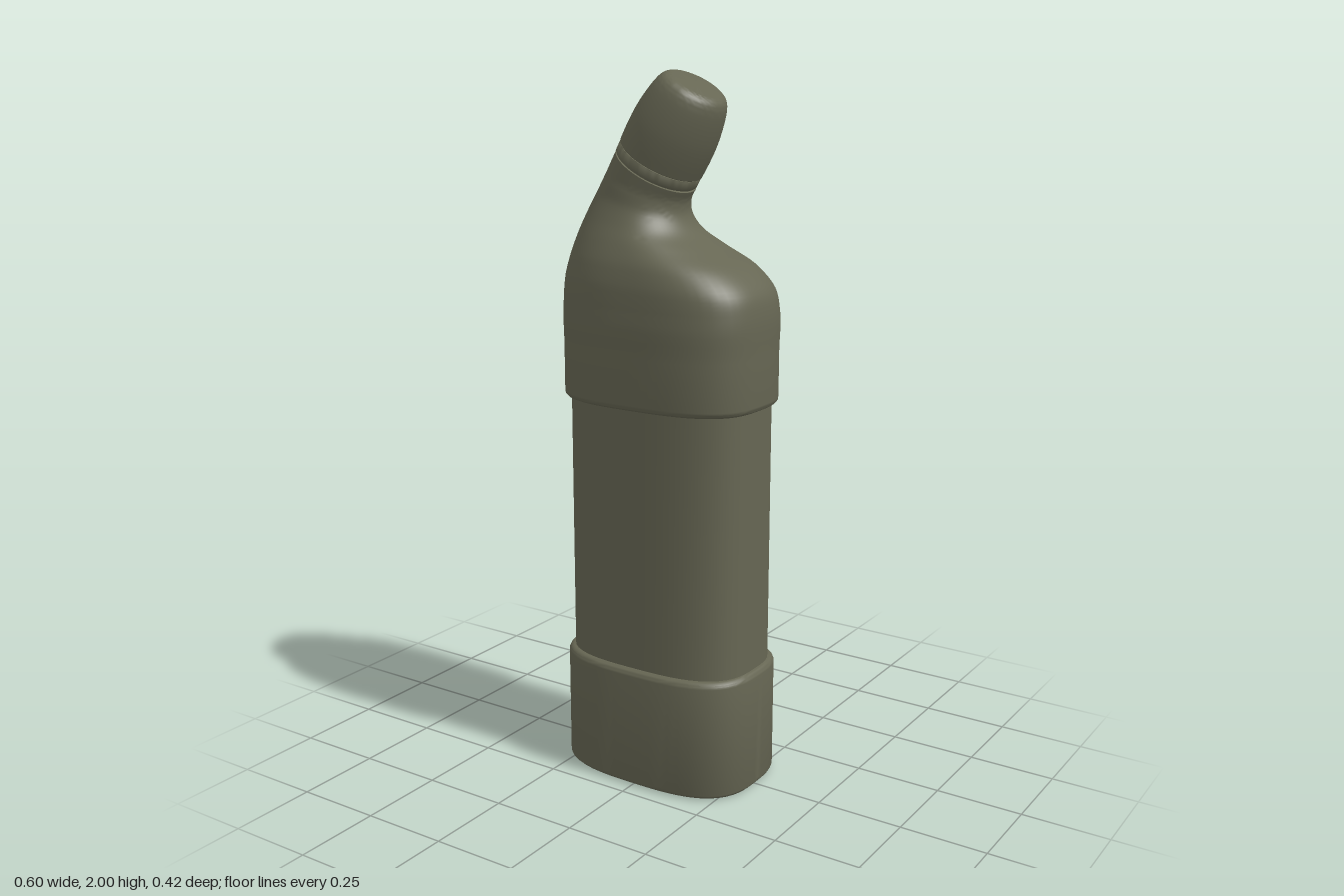
import * as THREE from 'three';
import { toCreasedNormals } from 'three/addons/utils/BufferGeometryUtils.js';

const SEGMENTS = 64;

// Skins a stack of superellipse rings: { l: [x, y], r: [x, y], d: half depth, n: squareness }
function loft(rings) {
  const pos = [], index = [];
  for (const { l, r, d, n } of rings) {
    for (let i = 0; i < SEGMENTS; i++) {
      const a = (i / SEGMENTS) * Math.PI * 2;
      const c = Math.cos(a), s = Math.sin(a);
      const k = Math.pow(Math.abs(c) ** n + Math.abs(s) ** n, -1 / n);
      pos.push(
        (l[0] + r[0]) / 2 + ((r[0] - l[0]) / 2) * c * k,
        (l[1] + r[1]) / 2 + ((r[1] - l[1]) / 2) * c * k,
        d * s * k
      );
    }
  }
  const last = (rings.length - 1) * SEGMENTS;
  for (const { l, r } of [rings[0], rings[rings.length - 1]]) {
    pos.push((l[0] + r[0]) / 2, (l[1] + r[1]) / 2, 0);
  }
  const bottom = rings.length * SEGMENTS, top = bottom + 1;
  for (let i = 0; i < SEGMENTS; i++) {
    const j = (i + 1) % SEGMENTS;
    for (let k = 0; k < last; k += SEGMENTS) {
      const a = k + i, b = k + j, c = a + SEGMENTS, e = b + SEGMENTS;
      index.push(a, c, b, b, c, e);
    }
    index.push(bottom, i, j, top, last + j, last + i);
  }
  const geo = new THREE.BufferGeometry();
  geo.setAttribute('position', new THREE.Float32BufferAttribute(pos, 3));
  geo.setIndex(index);
  return toCreasedNormals(geo, 0.65);
}

// Level ring, inset from the given half width and half depth
const level = (y, w, d, inset = 0) => ({ l: [inset - w, y], r: [w - inset, y], d: d - inset, n: 3 });

// Quarter-round edge; dir 1 opens upward from y, dir -1 closes downward to y
function roundEdge(y, w, d, radius, dir) {
  const rings = [];
  for (let i = 0; i <= 5; i++) {
    const a = (i / 5) * Math.PI / 2;
    rings.push(level(y + dir * radius * (1 - Math.cos(a)), w, d, radius * (1 - Math.sin(a))));
  }
  return dir > 0 ? rings : rings.reverse();
}

// Smooth curve through the key rings
function smoothRings(keys, steps) {
  const curve = (f) => new THREE.CatmullRomCurve3(keys.map(f), false, 'centripetal');
  const left = curve((k) => new THREE.Vector3(k[0], k[1], 0));
  const right = curve((k) => new THREE.Vector3(k[2], k[3], 0));
  const shape = curve((k) => new THREE.Vector3(k[4], k[5], 0));
  const count = (keys.length - 1) * steps;
  return Array.from({ length: count + 1 }, (_, i) => {
    const l = left.getPoint(i / count), r = right.getPoint(i / count), s = shape.getPoint(i / count);
    return { l: [l.x, l.y], r: [r.x, r.y], d: s.x, n: s.y };
  });
}

export function createModel() {
  const model = new THREE.Group();
  const olive = new THREE.MeshStandardMaterial({ color: 0x666653 });
  olive.name = 'olive plastic';

  const add = (name, geo, parent = model) => {
    const mesh = new THREE.Mesh(geo, olive);
    mesh.name = name;
    parent.add(mesh);
    return mesh;
  };

  // Foot and slimmer middle section
  add('foot', loft([
    ...roundEdge(0, 0.3, 0.207, 0.02, 1),
    ...roundEdge(0.355, 0.3, 0.207, 0.018, -1),
  ]));
  add('body', loft([level(0.3, 0.284, 0.188), level(1.15, 0.284, 0.188)]));

  // Shoulder sweeping into the slanted neck: left x, y, right x, y, half depth, squareness
  const shoulderKeys = [
    [-0.3, 1.25, 0.3, 1.25, 0.207, 3],
    [-0.3, 1.375, 0.3, 1.365, 0.207, 3],
    [-0.294, 1.45, 0.285, 1.425, 0.203, 2.95],
    [-0.28, 1.51, 0.23, 1.482, 0.191, 2.8],
    [-0.262, 1.57, 0.14, 1.53, 0.17, 2.55],
    [-0.238, 1.63, 0.07, 1.572, 0.148, 2.3],
    [-0.21, 1.688, 0.042, 1.617, 0.131, 2.1],
    [-0.18, 1.745, 0.043, 1.654, 0.125, 2],
    [-0.15, 1.8, 0.057, 1.68, 0.124, 2],
  ];
  add('shoulder', loft([
    ...roundEdge(1.105, 0.3, 0.207, 0.018, 1),
    ...smoothRings(shoulderKeys, 5),
  ]));

  // Tilted spout with a collar band below it
  const spout = new THREE.Group();
  spout.name = 'spout';
  spout.position.set(-0.03, 1.77, 0);
  spout.rotation.z = -Math.PI / 6;
  spout.scale.z = 1.04;
  model.add(spout);

  const lathe = (points) => toCreasedNormals(
    new THREE.LatheGeometry(points.map((p) => new THREE.Vector2(...p)), SEGMENTS), 0.6);

  add('collar', lathe([
    [0.112, -0.04], [0.112, -0.031], [0.118, -0.031], [0.12, -0.028],
    [0.12, -0.005], [0.118, -0.002], [0.112, -0.002], [0.112, 0.005],
  ]), spout);

  const side = new THREE.SplineCurve([
    [0.121, 0.002], [0.122, 0.05], [0.12, 0.1], [0.113, 0.15],
    [0.103, 0.192], [0.092, 0.214], [0.077, 0.224], [0.066, 0.226],
  ].map((p) => new THREE.Vector2(...p)));
  add('spoutTip', lathe([
    [0, 0], [0.119, 0], ...side.getPoints(28).map((p) => [p.x, p.y]), [0, 0.226],
  ]), spout);

  return model;
}
